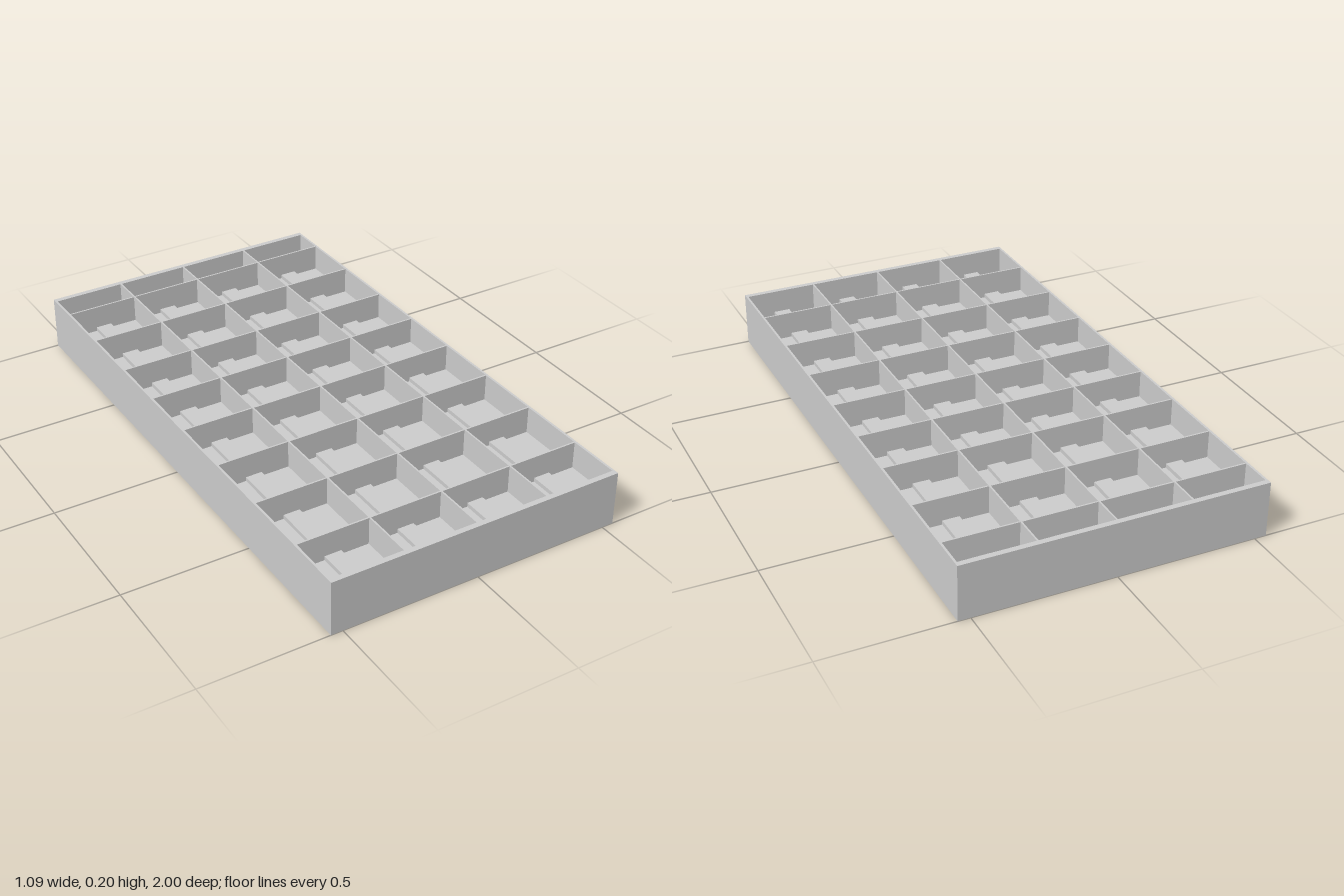
import * as THREE from 'three';

const W = 1.086, L = 2, H = 0.2;         // overall size
const LANES = 4, PITCH = 0.27;           // four parallel channels
const RIM_X = 0.008, RIM_Z = 0.02;
const FLOOR = 0.1;                       // height of the channel floor

const grey = new THREE.MeshStandardMaterial({ color: 0xcccccc });

function box(parent, name, w, h, d, x, y, z) {
  const mesh = new THREE.Mesh(new THREE.BoxGeometry(w, h, d), grey);
  mesh.position.set(x, y, z);
  mesh.name = name;
  parent.add(mesh);
}

export function createModel() {
  const model = new THREE.Group();
  model.name = 'fourChannelTray';
  const wallH = H - FLOOR, wallY = FLOOR + wallH / 2;
  const innerW = W - 2 * RIM_X, innerL = L - 2 * RIM_Z;

  // Solid base and the outer rim
  box(model, 'base', W, FLOOR, L, 0, FLOOR / 2, 0);
  for (const s of [-1, 1]) {
    box(model, 'sideRim', RIM_X, wallH, L, s * (W - RIM_X) / 2, wallY, 0);
    box(model, 'endRim', innerW, wallH, RIM_Z, 0, wallY, s * (L - RIM_Z) / 2);
  }

  // Raised strip along the middle of each channel
  for (let i = 0; i < LANES; i++) {
    box(model, 'channelStrip', 0.06, 0.015, innerL,
      (i - (LANES - 1) / 2) * PITCH, FLOOR + 0.0075, 0);
  }

  // Walls between the channels
  for (let i = 1; i < LANES; i++) {
    box(model, 'channelWall', 0.006, wallH, innerL, (i - LANES / 2) * PITCH, wallY, 0);
  }

  // Thin cross plates
  for (const z of [-0.865, -0.64, -0.4, -0.18, 0.05, 0.29, 0.535, 0.785]) {
    box(model, 'crossPlate', innerW, wallH - 0.001, 0.006, 0, wallY - 0.0005, z);
  }

  return model;
}
